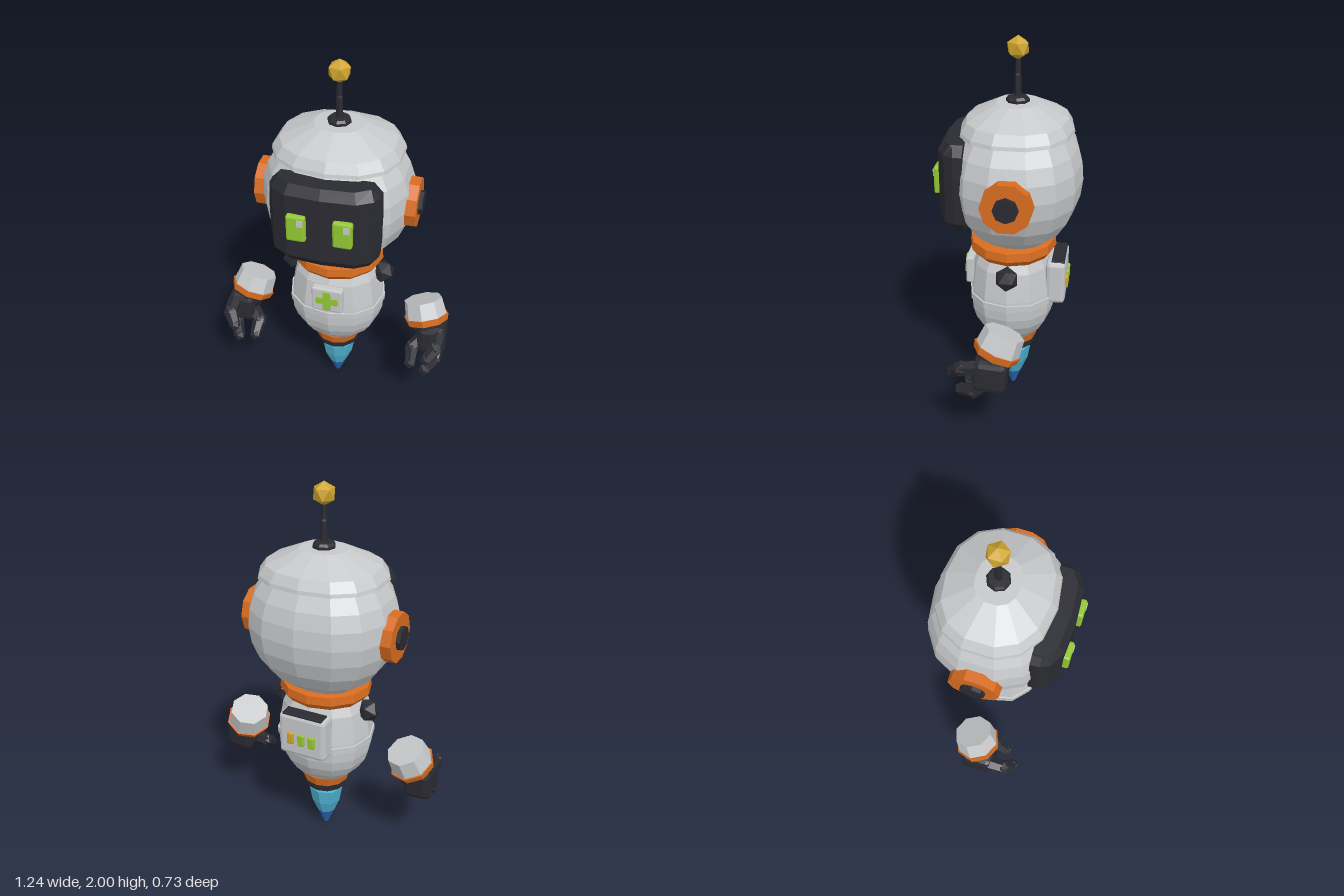
import * as THREE from 'three';
import { RoundedBoxGeometry } from 'three/addons/geometries/RoundedBoxGeometry.js';

const mat = (name, color) => Object.assign(new THREE.MeshStandardMaterial({ color }), { name });

export function createModel() {
  const root = new THREE.Group();
  root.name = 'hoveringRobot';
  const shell = mat('shellGrey', 0xc6c8ca);
  const dark = mat('darkGraphite', 0x2a2a32);
  const orange = mat('orangeTrim', 0xd86c1f);
  const green = mat('lampGreen', 0x92c832);
  const gold = mat('gold', 0xcfa52e);
  const flame = mat('flameBlue', 0x4fb2d2);
  const flameTip = mat('flameTipBlue', 0x2868b8);

  // Faceted mesh: every face keeps its own normal
  const add = (name, geo, material, x = 0, y = 0, z = 0, parent = root) => {
    const g = geo.index ? geo.toNonIndexed() : geo;
    g.computeVertexNormals();
    const m = new THREE.Mesh(g, material);
    m.name = name;
    m.position.set(x, y, z);
    parent.add(m);
    return m;
  };
  // Turned part from [radius, y] pairs, bottom to top; pow below 1 squares off the section
  const turned = (name, pts, material, z, depth = 1, seg = 12, pow = 1) => {
    const g = new THREE.LatheGeometry(pts.map(p => new THREE.Vector2(...p)), seg);
    const p = g.attributes.position;
    const square = (v, r) => Math.sign(v) * Math.abs(v / r) ** pow * r;
    for (let i = 0; i < p.count; i++) {
      const r = Math.hypot(p.getX(i), p.getZ(i)) || 1;
      p.setX(i, square(p.getX(i), r));
      p.setZ(i, square(p.getZ(i), r) * depth);
    }
    return add(name, g, material, 0, 0, z);
  };
  // Tapered prism between two points
  const limb = (name, a, b, ra, rb, seg, material, parent) => {
    const A = new THREE.Vector3(...a), B = new THREE.Vector3(...b);
    const d = B.clone().sub(A);
    const m = add(name, new THREE.CylinderGeometry(rb, ra, d.length(), seg), material, 0, 0, 0, parent);
    m.position.copy(A).addScaledVector(d, 0.5);
    m.quaternion.setFromUnitVectors(new THREE.Vector3(0, 1, 0), d.normalize());
    return m;
  };
  const block = (name, w, h, d, r, material, x, y, z, parent) =>
    add(name, new RoundedBoxGeometry(w, h, d, 1, r), material, x, y, z, parent);

  // Head and crown
  const HZ = -0.036, BZ = -0.015;
  const headPts = [[0, 0.95]];
  for (const y of [0.96, 1.03, 1.11, 1.2, 1.29, 1.38, 1.46, 1.55]) {
    headPts.push([0.382 * Math.sqrt(1 - ((y - 1.3) / 0.385) ** 2), y]);
  }
  headPts.push([0, 1.58]);
  turned('head', headPts, shell, HZ, 0.87, 14, 0.85);
  turned('crown', [[0.28, 1.535], [0.326, 1.54], [0.321, 1.558], [0.288, 1.605], [0.122, 1.68], [0, 1.682]],
    shell, HZ, 0.87, 14, 0.85);

  // Curved visor: a box whose corners are cut and whose front is bent
  const visorGeo = new THREE.BoxGeometry(2, 2, 2, 6, 5, 1);
  const vp = visorGeo.attributes.position;
  const xs = [0, 0.17, 0.245, 0.275], fz = [0.342, 0.331, 0.288, 0.24];
  const ys = { 1: 0.06, 3: 0.175, 5: 0.223 };
  for (let i = 0; i < vp.count; i++) {
    const ix = Math.round(vp.getX(i) * 3), iy = Math.round(vp.getY(i) * 5);
    const ax = Math.abs(ix), ay = Math.abs(iy);
    let x = xs[ax], y = ys[ay], z = fz[ax];
    if (ay === 5) { z -= 0.03; x *= 0.92; }
    if (ax === 3 && ay === 5) { x = 0.235; y = 0.21; z = 0.245; }
    if (ax === 3 && ay === 3) x = 0.268;
    vp.setXYZ(i, Math.sign(ix) * x, Math.sign(iy) * y, vp.getZ(i) > 0 ? z : 0.195);
  }
  add('visor', visorGeo, dark, 0, 1.298, 0);

  // Eyes with a small glint
  for (const s of [-1, 1]) {
    block('eye', 0.095, 0.142, 0.04, 0.01, green, s * 0.113, 1.305, 0.342);
    add('eyeGlint', new THREE.BoxGeometry(0.03, 0.036, 0.008), shell, s * 0.113 + 0.023, 1.343, 0.362);
  }

  // Ear discs
  for (const s of [-1, 1]) {
    const ear = new THREE.Group();
    ear.name = s > 0 ? 'leftEar' : 'rightEar';
    root.add(ear);
    limb('earDisc', [s * 0.34, 1.285, HZ], [s * 0.41, 1.285, HZ], 0.13, 0.128, 10, orange, ear);
    limb('earHub', [s * 0.38, 1.285, HZ], [s * 0.43, 1.285, HZ], 0.064, 0.062, 8, dark, ear);
  }

  // Antenna
  turned('antennaBase', [[0.058, 1.67], [0.058, 1.695], [0.048, 1.707], [0, 1.709]], dark, HZ, 1, 8);
  turned('antennaRod', [[0.018, 1.7], [0.017, 1.81], [0.014, 1.82], [0.013, 1.91]], dark, HZ, 1, 6);
  const ball = add('antennaBall', new THREE.IcosahedronGeometry(0.059, 0), gold, 0, 1.941, HZ);
  ball.rotation.z = -0.5536;

  // Neck ring and torso
  turned('neckRing', [[0.18, 0.872], [0.215, 0.88], [0.245, 0.915], [0.24, 0.96], [0.16, 0.97]], orange, BZ, 0.93);
  turned('torso', [[0, 0.395], [0.15, 0.4], [0.195, 0.45], [0.232, 0.51], [0.25, 0.57], [0.255, 0.63], [0.252, 0.68],
    [0.24, 0.76], [0.228, 0.83], [0.205, 0.88], [0, 0.89]], shell, BZ, 0.89, 12, 0.9);
  turned('waistBand', [[0.24, 0.628], [0.262, 0.63], [0.262, 0.665], [0.24, 0.667]], shell, BZ, 0.89, 12, 0.9);

  // Thruster and flame
  turned('thrusterRing', [[0.09, 0.344], [0.125, 0.345], [0.138, 0.398], [0, 0.4]], orange, BZ, 1, 12);
  turned('thrusterNozzle', [[0, 0.29], [0.1, 0.292], [0.117, 0.305], [0.119, 0.346], [0, 0.348]], dark, BZ, 1, 12);
  turned('thrusterCore', [[0.075, 0.27], [0.075, 0.3]], shell, BZ, 1, 10);
  turned('flame', [[0.05, 0.105], [0.082, 0.185], [0.098, 0.275], [0, 0.28]], flame, BZ, 1, 8);
  turned('flameTip', [[0, 0], [0.012, 0.012], [0.05, 0.105]], flameTip, BZ, 1, 8);

  // Chest badge with a plus sign
  block('badgePlate', 0.165, 0.15, 0.045, 0.01, shell, 0, 0.765, 0.206);
  const cross = new THREE.Shape();
  const a = 0.02, b = 0.058;
  [[a, a], [a, b], [-a, b], [-a, a], [-b, a], [-b, -a], [-a, -a], [-a, -b], [a, -b], [a, -a], [b, -a], [b, a]]
    .forEach(([x, y], i) => (i ? cross.lineTo(x, y) : cross.moveTo(x, y)));
  add('badgePlus', new THREE.ExtrudeGeometry(cross, { depth: 0.009, bevelEnabled: false }), green, 0, 0.765, 0.227);

  // Backpack
  block('backpack', 0.26, 0.237, 0.1, 0.02, shell, 0, 0.746, -0.252);
  block('backpackLid', 0.225, 0.024, 0.068, 0.006, dark, 0, 0.858, -0.262);
  [0.06, 0, -0.06].forEach((x, i) =>
    block('backpackLamp', 0.037, 0.066, 0.03, 0.006, i ? green : gold, x, 0.732, -0.3));

  // Shoulder sockets and floating hands
  for (const s of [-1, 1]) {
    add('shoulderSocket', new THREE.IcosahedronGeometry(0.064, 0), dark, s * 0.245, 0.823, BZ);

    const hand = new THREE.Group();
    hand.name = s > 0 ? 'leftHand' : 'rightHand';
    root.add(hand);
    const P = (x, y, z) => [s * x, y, z];
    limb('cuff', P(0.497, 0.565, -0.006), P(0.469, 0.653, -0.04), 0.115, 0.104, 8, shell, hand);
    limb('cuffTrim', P(0.506, 0.538, 0.005), P(0.496, 0.57, -0.008), 0.114, 0.124, 8, orange, hand);
    limb('wrist', P(0.53, 0.49, 0.012), P(0.505, 0.543, 0.003), 0.085, 0.09, 8, dark, hand);
    const palm = block('palm', 0.15, 0.17, 0.17, 0.03, dark, s * 0.543, 0.467, 0.018, hand);
    palm.rotation.set(-0.06, 0, s * 0.06);

    // Two fingers and a thumb, each three points long
    const digits = [
      ['upperFinger', P(0.58, 0.51, 0.08), P(0.577, 0.495, 0.162), P(0.54, 0.448, 0.21)],
      ['lowerFinger', P(0.58, 0.41, 0.045), P(0.572, 0.362, 0.1), P(0.532, 0.337, 0.175)],
      ['thumb', P(0.485, 0.425, 0.04), P(0.442, 0.39, 0.075), P(0.447, 0.337, 0.145)],
    ];
    for (const [name, p, q, t] of digits) {
      limb(name + 'Base', p, q, 0.04, 0.037, 6, dark, hand);
      limb(name + 'Tip', q, t, 0.039, 0.03, 6, dark, hand);
      add(name + 'Knuckle', new THREE.IcosahedronGeometry(0.042, 0), dark, ...q, hand);
      add(name + 'End', new THREE.IcosahedronGeometry(0.034, 0), dark, ...t, hand);
    }
  }
  return root;
}
